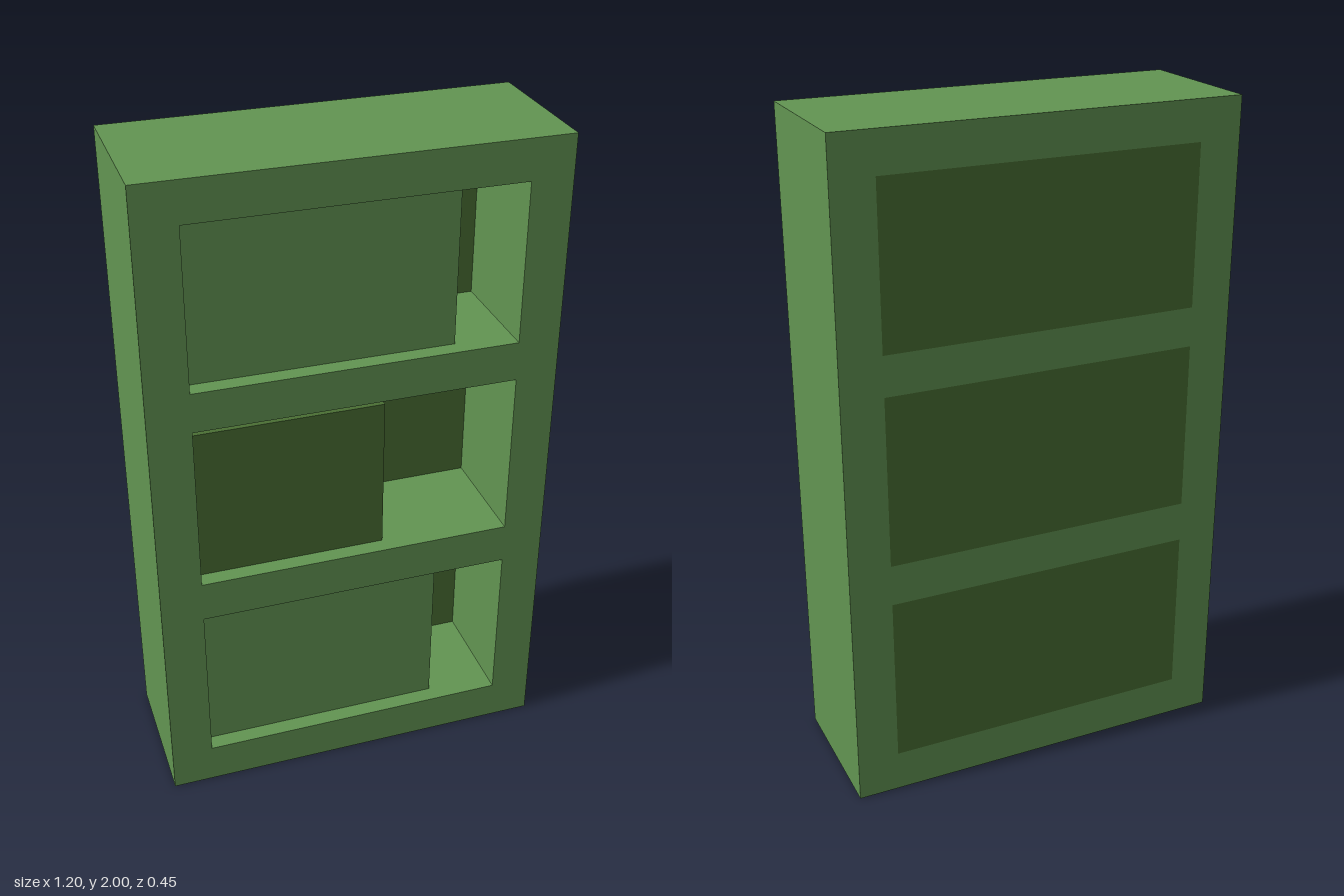
import * as THREE from 'three';

export function createModel() {
  const model = new THREE.Group();
  const leaf = new THREE.MeshStandardMaterial({ name: 'leaf green', color: 0x629552 });
  const moss = new THREE.MeshStandardMaterial({ name: 'moss green', color: 0x4a6f34 });

  const halfWidth = 0.6, height = 2, depth = 0.45, inner = 0.475;
  const panelThickness = 0.1, blockFront = 0.175;

  // One entry per compartment: opening heights and the block standing in it
  const bays = [
    { name: 'lower', bottom: 0.125, top: 0.64, blockRight: 0.27, blockTop: 0.6, material: leaf },
    { name: 'middle', bottom: 0.765, top: 1.28, blockRight: 0.095, blockTop: 1.24, material: moss },
    { name: 'upper', bottom: 1.4, top: 1.88, blockRight: 0.3, blockTop: 1.88, material: leaf },
  ];

  const rectangle = (PathType, x0, y0, x1, y1) => new PathType([
    new THREE.Vector2(x0, y0), new THREE.Vector2(x1, y0),
    new THREE.Vector2(x1, y1), new THREE.Vector2(x0, y1),
  ]);

  function addBox(name, material, x0, x1, y0, y1, z0, z1) {
    const mesh = new THREE.Mesh(new THREE.BoxGeometry(x1 - x0, y1 - y0, z1 - z0), material);
    mesh.position.set((x0 + x1) / 2, (y0 + y1) / 2, (z0 + z1) / 2);
    mesh.name = name;
    model.add(mesh);
  }

  // Cabinet frame with three openings cut through it
  const outline = rectangle(THREE.Shape, -halfWidth, 0, halfWidth, height);
  for (const bay of bays) {
    outline.holes.push(rectangle(THREE.Path, -inner, bay.bottom, inner, bay.top));
  }
  const frameGeometry = new THREE.ExtrudeGeometry(outline, { depth, bevelEnabled: false });
  frameGeometry.translate(0, 0, -depth / 2);
  const frame = new THREE.Mesh(frameGeometry, leaf);
  frame.name = 'cabinetFrame';
  model.add(frame);

  // Back panels flush with the rear, and the row of books as one block per shelf
  const back = -depth / 2, panelFront = back + panelThickness;
  for (const bay of bays) {
    addBox(`${bay.name}BackPanel`, moss, -inner, inner, bay.bottom, bay.top, back, panelFront);
    addBox(`${bay.name}BookBlock`, bay.material, -inner, bay.blockRight,
      bay.bottom, bay.blockTop, panelFront, blockFront);
  }
  return model;
}
